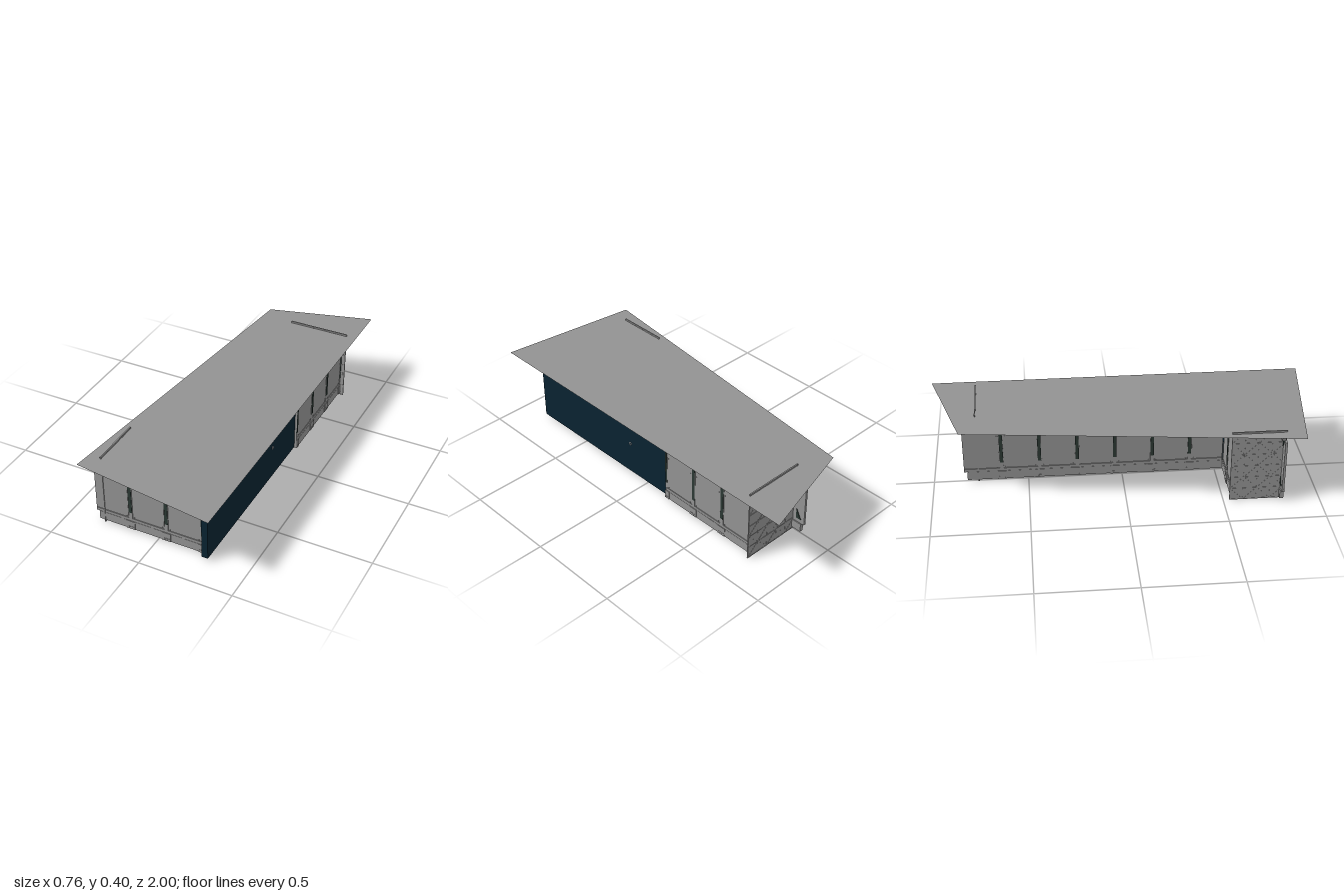
import * as THREE from 'three';

const mat = (name, color, side = THREE.FrontSide) => {
  const m = new THREE.MeshStandardMaterial({ color, side });
  m.name = name;
  return m;
};

export function createModel() {
  const grey = mat('grey panel', 0x929292);
  const roofGrey = mat('grey roof', 0x929292, THREE.DoubleSide);
  const floorBlack = mat('floor black', 0x20272a);
  const insert = mat('dark green insert', 0x2b3833);
  const navy = mat('navy screen', 0x092331);
  const white = mat('pale fitting', 0xc8ccd0);
  const root = new THREE.Group();
  root.name = 'counter';

  // Box given by its minimum and maximum corners
  const box = (parent, name, material, x0, x1, y0, y1, z0, z1) => {
    const m = new THREE.Mesh(new THREE.BoxGeometry(x1 - x0, y1 - y0, z1 - z0), material);
    m.position.set((x0 + x1) / 2, (y0 + y1) / 2, (z0 + z1) / 2);
    m.name = name;
    parent.add(m);
    return m;
  };
  const polygon = pts => new THREE.Shape(pts.map(p => new THREE.Vector2(p[0], p[1])));
  const plate = (parent, name, material, pts, z, depth) => {
    const m = new THREE.Mesh(new THREE.ExtrudeGeometry(polygon(pts), { depth, bevelEnabled: false }), material);
    m.position.z = z;
    m.name = name;
    parent.add(m);
    return m;
  };

  // Pillar with plinth, dark insert and flared bracket; clipped to the wall's ends
  const pillar = (parent, c, length) => {
    const g = new THREE.Group();
    g.name = 'pillar';
    parent.add(g);
    const part = (name, material, a, b, y0, y1, z0, z1) => {
      const x0 = Math.max(0, c + a), x1 = Math.min(length, c + b);
      if (x1 - x0 > 0.001) box(g, name, material, x0, x1, y0, y1, z0, z1);
    };
    part('plinth', grey, -0.024, 0.024, 0.012, 0.06, -0.018, 0.003);
    part('plinthPlate', grey, -0.017, 0.017, 0.014, 0.028, 0, 0.004);
    for (const s of [-0.006, 0.006])
      part('plateStud', grey, s - 0.003, s + 0.003, 0.019, 0.023, 0, 0.005);
    part('post', grey, -0.01, 0.01, 0.06, 0.36, -0.014, -0.001);
    for (const [y0, y1] of [[0.112, 0.31], [0.311, 0.35]])
      part('postInsert', insert, -0.009, 0.009, y0, y1, -0.004, 0.001);
    for (const s of [-1, 1]) for (const y of [0.085, 0.272])
      part('screw', grey, s * 0.021 - 0.0015, s * 0.021 + 0.0015, y - 0.002, y + 0.002, -0.002, 0.0015);
    // Flared bracket
    const w = x => Math.min(length, Math.max(0, c + x));
    plate(g, 'bracket', grey, [
      [w(-0.01), 0.35], [w(0.01), 0.35], [w(0.022), 0.379], [w(-0.022), 0.379],
    ], -0.018, 0.021);
  };

  // Thin panelled wall along local +x, facing local +z; an open start overhangs its end frame
  const wall = (name, x, z, turn, length, pillars, openStart) => {
    const g = new THREE.Group();
    g.name = name;
    g.position.set(x, 0, z);
    g.rotation.y = turn;
    root.add(g);
    const a = openStart ? 0.016 : 0;
    box(g, 'base', grey, a, length, 0.012, 0.06, -0.02, 0);
    box(g, 'panelBack', grey, 0, length, 0.06, 0.355, -0.014, -0.006);
    box(g, 'lowerRail', grey, 0, length, 0.06, 0.076, -0.014, -0.001);
    // Raised panels between the pillars
    const stops = [0, ...pillars.filter(p => p > 0.03 && p < length - 0.03), length];
    for (let i = 0; i < stops.length - 1; i++) {
      const l = stops[i] + (i || !openStart ? 0.012 : 0);
      box(g, 'panel', grey, l, stops[i + 1] - 0.012, 0.079, 0.355, -0.014, -0.002);
    }
    // Stepped cornice
    plate(g, 'corniceFrieze', grey, [
      [a + 0.008, 0.352], [length, 0.352], [length, 0.379], [a - 0.004, 0.379], [a + 0.006, 0.366],
    ], -0.026, 0.02);
    box(g, 'corniceTop', grey, a - 0.005, length, 0.379, 0.39, -0.03, 0.002);
    // Dark corner gussets behind the overhang
    if (openStart) {
      plate(g, 'upperGusset', insert, [[0.02, 0.35], [0.05, 0.3], [0.05, 0.35]], -0.018, 0.004);
      plate(g, 'lowerGusset', insert, [[0.02, 0.085], [0.05, 0.085], [0.05, 0.14]], -0.018, 0.004);
    }
    pillars.forEach(p => pillar(g, p, length));
  };
  const steps = (n, first) => Array.from({ length: n }, (_, i) => first + i * 0.2);
  wall('frontWall', -0.348, 0.81, 0, 0.6, steps(3, 0.196), true);
  wall('outerWall', 0.303, -0.16, Math.PI / 2, 0.605, steps(4, 0.003), false);
  wall('innerLongWall', -0.012, -0.839, -Math.PI / 2, 1.379, steps(6, 0.2), true);
  wall('innerShortWall', -0.012, 0.54, Math.PI, 0.288, [0.136], false);

  // Screen on the long outer side with a round fitting
  box(root, 'screen', navy, 0.257, 0.29, 0.015, 0.388, -0.16, 0.84);
  const fitting = new THREE.Mesh(new THREE.TorusGeometry(0.008, 0.0018, 6, 20), white);
  fitting.position.set(0.291, 0.197, 0.12);
  fitting.rotation.y = Math.PI / 2;
  fitting.name = 'screenFitting';
  root.add(fitting);

  // L-shaped floor
  const floor = new THREE.Mesh(new THREE.ExtrudeGeometry(polygon([
    [-0.3, -0.805], [0.285, -0.805], [0.285, 0.765], [-0.01, 0.765], [-0.01, -0.542], [-0.3, -0.542],
  ]), { depth: 0.003, bevelEnabled: false }), floorBlack);
  floor.rotation.x = -Math.PI / 2;
  floor.position.y = 0.0115;
  floor.name = 'floor';
  root.add(floor);

  // Braced end frame, centred on local x, with bars on both faces
  const endFrame = (name, x, z, turn, width, cols) => {
    const g = new THREE.Group();
    g.name = name;
    g.position.set(x, 0, z);
    g.rotation.y = turn;
    root.add(g);
    const h = 0.402, rows = 6, cw = width / cols, ch = h / rows;
    box(g, 'sheet', grey, -width / 2, width / 2, 0, h, -0.002, 0.002);
    for (let i = 0; i <= cols; i++) {
      const c = Math.min(width / 2 - 0.002, Math.max(0.002 - width / 2, i * cw - width / 2));
      box(g, 'upright', grey, c - 0.002, c + 0.002, 0, h, -0.003, 0.003);
    }
    for (let j = 0; j <= rows; j++) {
      const c = Math.min(h - 0.002, Math.max(0.002, j * ch));
      box(g, 'crossbar', grey, -width / 2, width / 2, c - 0.002, c + 0.002, -0.0035, 0.0035);
    }
    for (let i = 0; i < cols; i++) for (let j = 0; j < rows; j++) {
      const d = Math.hypot(cw, ch) * 0.9;
      const brace = box(g, 'brace', grey, -d / 2, d / 2, -0.002, 0.002, -0.003, 0.003);
      brace.position.set((i + 0.5) * cw - width / 2, (j + 0.5) * ch, 0);
      brace.rotation.z = ((i + j) % 2 ? 1 : -1) * Math.atan2(ch, cw);
    }
  };
  endFrame('backEndFrame', 0.158, -0.764, 0, 0.335, 5);
  endFrame('sideEndFrame', -0.302, 0.672, Math.PI / 2, 0.28, 4);

  // Roof sheet
  const roof = new THREE.Mesh(new THREE.ShapeGeometry(polygon([
    [-0.38, -0.9], [0.38, -1], [0.38, 1], [-0.18, 0.845],
  ])), roofGrey);
  roof.rotation.x = -Math.PI / 2;
  roof.position.y = 0.3915;
  roof.name = 'roof';
  root.add(roof);
  return root;
}
